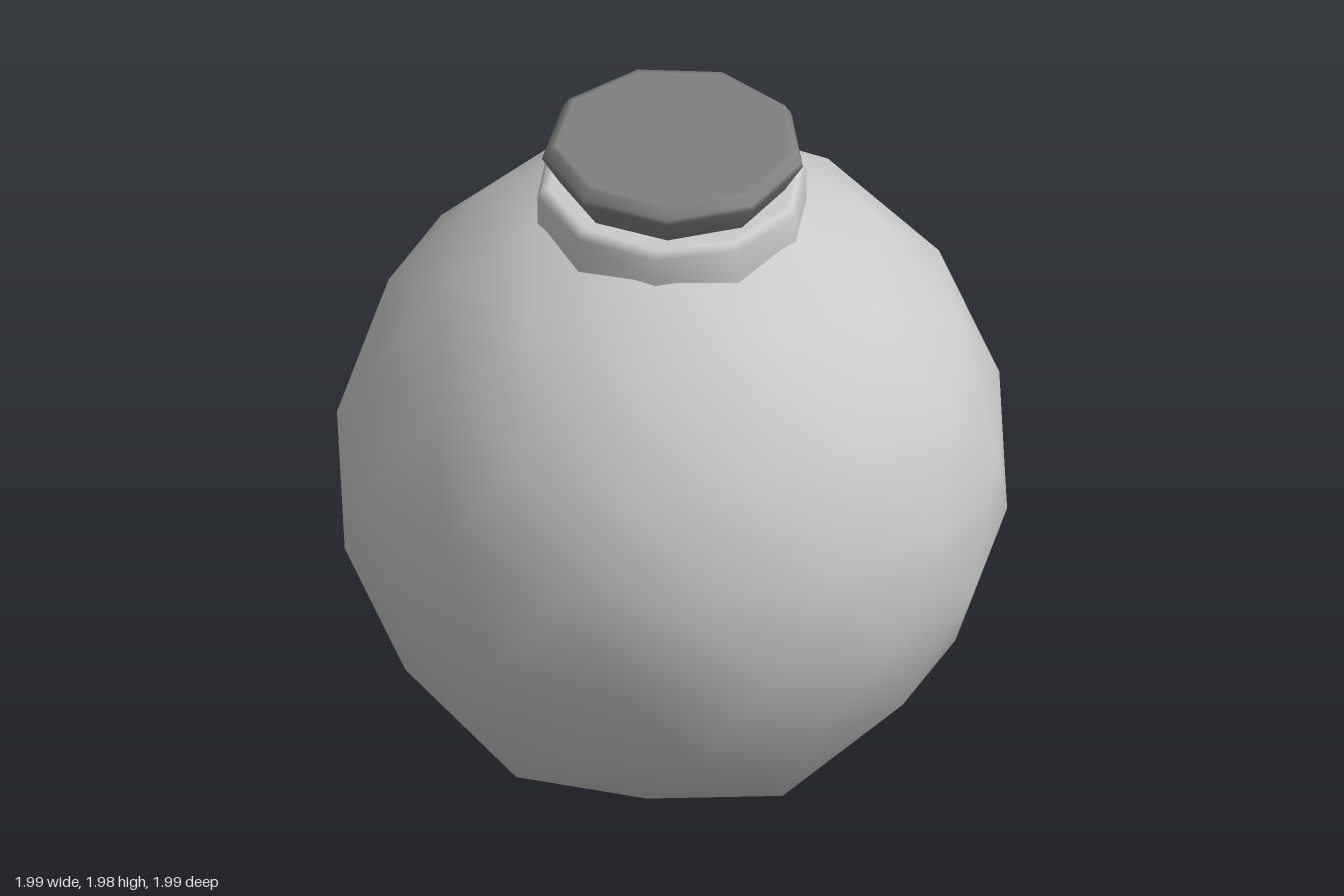
import * as THREE from 'three';
import { mergeVertices } from 'three/addons/utils/BufferGeometryUtils.js';

const RADIUS = 1.0145, CENTRE_Y = 0.808, SPLIT = 3;

// Geodesic ball, each icosahedron face split evenly by angle, pole up
function geodesicBall() {
  const ico = new THREE.IcosahedronGeometry(1, 0);
  ico.rotateX(-Math.atan((1 + Math.sqrt(5)) / 2)).rotateY(Math.PI / 2);
  const src = ico.attributes.position;
  const edgeAngle = Math.atan(2);
  const positions = [];
  for (let f = 0; f < src.count; f += 3) {
    const corners = [0, 1, 2].map((k) => new THREE.Vector3().fromBufferAttribute(src, f + k));
    const point = (i, j) => {
      const p = new THREE.Vector3();
      [SPLIT - i - j, i, j].forEach((w, k) =>
        p.addScaledVector(corners[k], Math.sin((w / SPLIT) * edgeAngle)));
      return p.normalize().multiplyScalar(RADIUS);
    };
    const add = (...pts) => pts.forEach((p) => positions.push(p.x, p.y, p.z));
    for (let i = 0; i < SPLIT; i++) {
      for (let j = 0; j < SPLIT - i; j++) {
        add(point(i, j), point(i + 1, j), point(i, j + 1));
        if (i + j < SPLIT - 1) add(point(i + 1, j), point(i + 1, j + 1), point(i, j + 1));
      }
    }
  }
  const geo = new THREE.BufferGeometry();
  geo.setAttribute('position', new THREE.Float32BufferAttribute(positions, 3));
  return mergeVertices(geo, 1e-3);
}

function turned(profile, sides, start) {
  const points = profile.map(([r, y]) => new THREE.Vector2(r, y));
  return new THREE.LatheGeometry(points, sides, start);
}

export function createModel() {
  const group = new THREE.Group();
  const add = (name, geometry, color) => {
    const material = new THREE.MeshStandardMaterial({ color });
    const mesh = new THREE.Mesh(geometry, material);
    mesh.name = name;
    group.add(mesh);
    return mesh;
  };

  // Round body with its underside pressed flat onto the ground
  const body = geodesicBall().translate(0, CENTRE_Y, 0);
  const pos = body.attributes.position;
  for (let i = 0; i < pos.count; i++) if (pos.getY(i) < 0.1) pos.setY(i, 0);
  body.computeVertexNormals();
  add('body', body, 0xcccccc);

  // Ten-sided collar with a small bevel on its rim
  add('neck', turned([
    [0.41, 1.68], [0.41, 1.74], [0.41, 1.82], [0.395, 1.843], [0.375, 1.843], [0, 1.843],
  ], 10, Math.PI / 2), 0xcccccc);

  // Nine-sided flared stopper
  const stopper = add('stopper', turned([
    [0, 1.838], [0.33, 1.838], [0.34, 1.842], [0.397, 1.937], [0.392, 1.95],
    [0.372, 1.98], [0.355, 1.982], [0, 1.982],
  ], 9, -Math.PI / 2), 0x808080);
  stopper.position.x = 0.007;

  return group;
}
